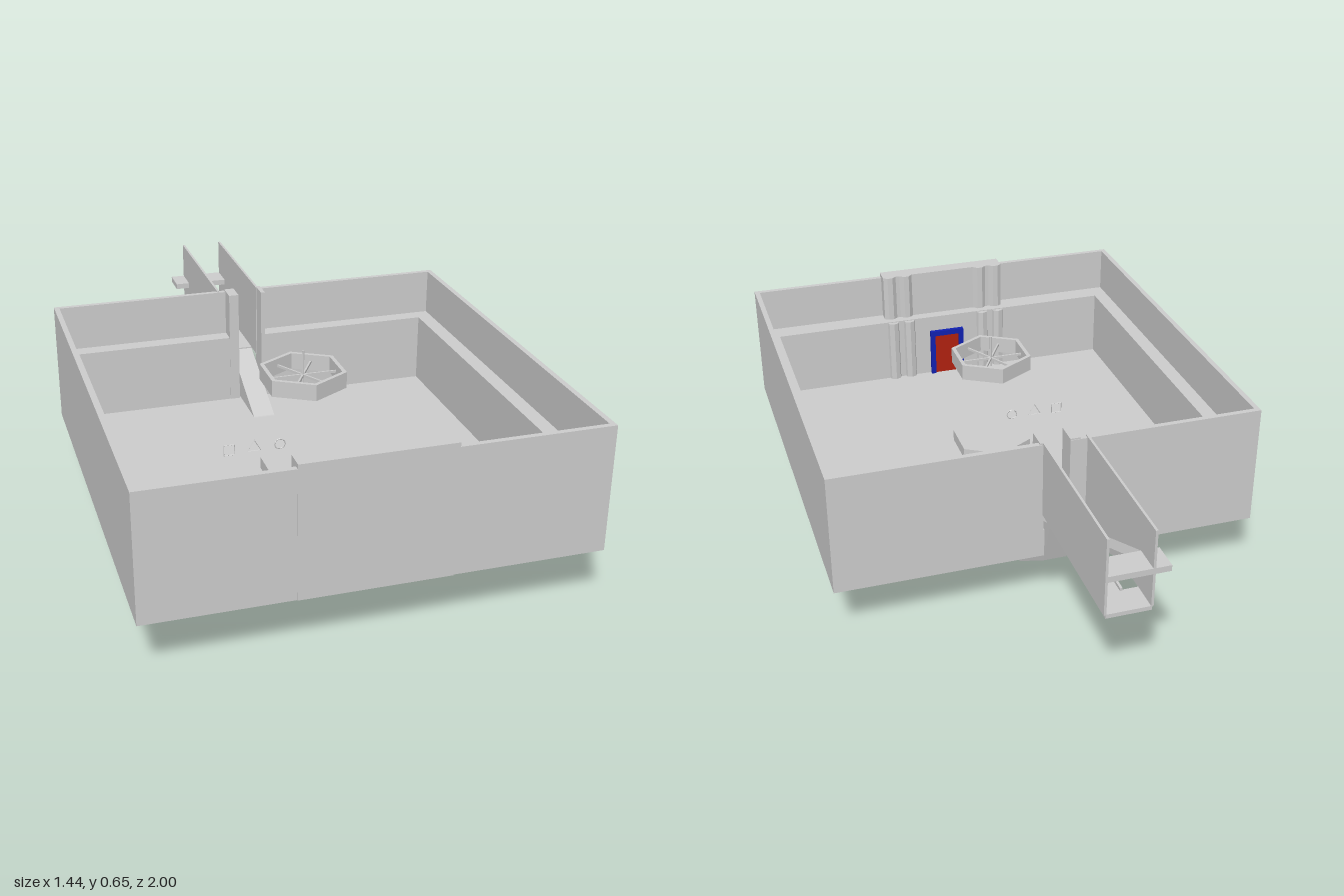
import * as THREE from 'three';

const grey = new THREE.MeshStandardMaterial({ color: 0xcccccc, flatShading: true, side: THREE.DoubleSide });
const red = new THREE.MeshStandardMaterial({ color: 0xb02010 });
const blue = new THREE.MeshStandardMaterial({ color: 0x1020b0 });

export function createModel() {
  const model = new THREE.Group();

  const add = (name, geometry, material = grey, parent = model) => {
    const mesh = new THREE.Mesh(geometry, material);
    mesh.name = name;
    parent.add(mesh);
    return mesh;
  };
  // Box given by its limits on each axis
  const box = (name, x0, x1, y0, y1, z0, z1, material, parent) => {
    const m = add(name, new THREE.BoxGeometry(x1 - x0, y1 - y0, z1 - z0), material, parent);
    m.position.set((x0 + x1) / 2, (y0 + y1) / 2, (z0 + z1) / 2);
    return m;
  };
  const shapeOf = pts => new THREE.Shape(pts.map(p => new THREE.Vector2(p[0], p[1])));
  // Side profile of [z, y] points, swept from x0 to x1
  const sideProfile = (name, pts, x0, x1) => {
    const geo = new THREE.ExtrudeGeometry(shapeOf(pts.map(([z, y]) => [-z, y])), { depth: x1 - x0, bevelEnabled: false });
    geo.rotateY(Math.PI / 2).translate(x0, 0, 0);
    return add(name, geo);
  };
  // Floor plan of [x, z] points, swept from y0 to y1
  const plan = (name, pts, y0, y1, holes = []) => {
    const flip = list => list.map(([x, z]) => [x, -z]);
    const shape = shapeOf(flip(pts));
    holes.forEach(h => shape.holes.push(shapeOf(flip(h))));
    const geo = new THREE.ExtrudeGeometry(shape, { depth: y1 - y0, bevelEnabled: false });
    geo.rotateX(-Math.PI / 2).translate(0, y0, 0);
    return add(name, geo);
  };

  // Hall: slightly raised floor, four walls, back wall split by the entrance
  const X = 0.72, Z0 = -0.445, Z1 = 0.998, Y0 = 0.2, Y1 = 0.62, T = 0.018;
  box('floor', -X + T, X - T, 0.207, 0.215, Z0 + T, Z1 - T);
  box('frontWall', -X, X, Y0, Y1, Z1 - T, Z1);
  for (const s of [-1, 1]) {
    const a = s * X, b = s * (X - T), c = s * 0.65;
    box('sideWall', Math.min(a, b), Math.max(a, b), Y0, Y1, Z0 + T, Z1 - T);
    box('sideLedge', Math.min(b, c), Math.max(b, c), 0.212, 0.46, Z0 + T, Z1 - T);
  }
  box('frontLedge', -0.65, 0.65, 0.212, 0.46, 0.905, Z1 - T);
  box('backWall', -X, -0.06, Y0, Y1, Z0, Z0 + T);
  box('backWall', 0.025, X, Y0, Y1, Z0, Z0 + T);
  box('backWallSill', -0.06, 0.025, Y0, 0.3, Z0, Z0 + T);
  box('backLedge', -0.65, -0.095, 0.212, 0.46, Z0 + T, -0.372);
  box('backLedge', 0.04, 0.65, 0.212, 0.46, Z0 + T, -0.372);
  box('entrancePost', -0.095, -0.06, 0.212, 0.625, Z0 + 0.002, -0.37);
  box('entrancePost', 0.025, 0.04, 0.212, 0.625, Z0 + 0.002, -0.37);

  // Front portal with paired ribs on each side
  const cx = -0.015;
  const half = [[0.24, 1], [0.24, 0.94], [0.225, 0.93], [0.205, 0.93], [0.19, 0.942], [0.175, 0.942],
    [0.16, 0.93], [0.14, 0.93], [0.125, 0.945]];
  const mirrored = half.map(([x, z]) => [cx - x, z]).reverse();
  plan('portal', [...half.map(([x, z]) => [cx + x, z]), ...mirrored], 0.199, 0.635);
  for (const s of [-1, 1]) {
    for (const dx of [0.15, 0.215]) {
      const rib = add('lowerRib', new THREE.CylinderGeometry(0.025, 0.025, 0.245, 8));
      rib.position.set(cx + s * dx, 0.3345, 0.912);
    }
  }

  // Door in a frame
  const door = new THREE.Group();
  door.name = 'door';
  model.add(door);
  box('doorPanel', cx - 0.05, cx + 0.05, 0.215, 0.38, 0.898, 0.91, red, door);
  for (const s of [-1, 1]) {
    box('doorJamb', cx + s * 0.058 - 0.009, cx + s * 0.058 + 0.009, 0.215, 0.38, 0.89, 0.91, blue, door);
  }
  box('doorLintel', cx - 0.067, cx + 0.067, 0.38, 0.4, 0.89, 0.91, blue, door);

  // Hanging wheel: hexagonal rim, spokes and rod, above a hexagonal dais
  const cz = 0.275;
  const hex = r => Array.from({ length: 6 }, (_, i) => {
    const a = (i + 0.5) * Math.PI / 3;
    return [cx + r * Math.cos(a), cz + r * Math.sin(a)];
  });
  plan('wheelRim', hex(0.145), 0.54, 0.595, [hex(0.13)]);
  for (let i = 0; i < 3; i++) {
    const spoke = add('wheelSpoke', new THREE.BoxGeometry(0.23, 0.008, 0.006));
    spoke.position.set(cx, 0.57, cz);
    spoke.rotation.y = i * Math.PI / 3;
  }
  const rod = add('wheelRod', new THREE.CylinderGeometry(0.004, 0.004, 0.115, 6));
  rod.position.set(cx, 0.5975, cz);
  plan('dais', hex(0.145), 0.212, 0.255);

  // Small upright outline markers: square, triangle, ring
  [[-0.265, 4, Math.PI / 4], [-0.18, 3, Math.PI / 2], [-0.092, 12, 0]].forEach(([x, sides, turn]) => {
    const marker = add('marker', new THREE.TorusGeometry(sides === 12 ? 0.018 : 0.026, 0.002, 4, sides));
    marker.position.set(x, 0.33, cz - 0.005);
    marker.rotation.z = turn;
  });

  // Wedge ramp from the passage down through the floor
  sideProfile('ramp', [[-0.51, 0.362], [-0.19, 0.216], [-0.09, 0.2], [-0.09, 0.17], [-0.183, 0],
    [-0.445, 0.18], [-0.5, 0.35]], -0.055, 0.022);

  // Raised passage behind the hall
  box('passageFloor', -0.06, 0.025, 0.348, 0.362, -1, -0.5);
  box('passageWall', 0.022, 0.03, 0.36, 0.625, -1, -0.43);
  box('passageWall', -0.125, -0.117, 0.36, 0.625, -1, -0.43);
  box('floorLip', -0.065, -0.057, 0.348, 0.372, -0.905, -0.445);
  box('passageEndFloor', -0.12, -0.06, 0.348, 0.362, -1, -0.9);
  box('endShelf', -0.175, 0.022, 0.475, 0.495, -1, -0.905);
  sideProfile('sideSlope', [[-0.905, 0.495], [-0.635, 0.37], [-0.59, 0.37], [-0.59, 0.35], [-0.64, 0.35],
    [-0.905, 0.475]], -0.118, -0.062);

  return model;
}
